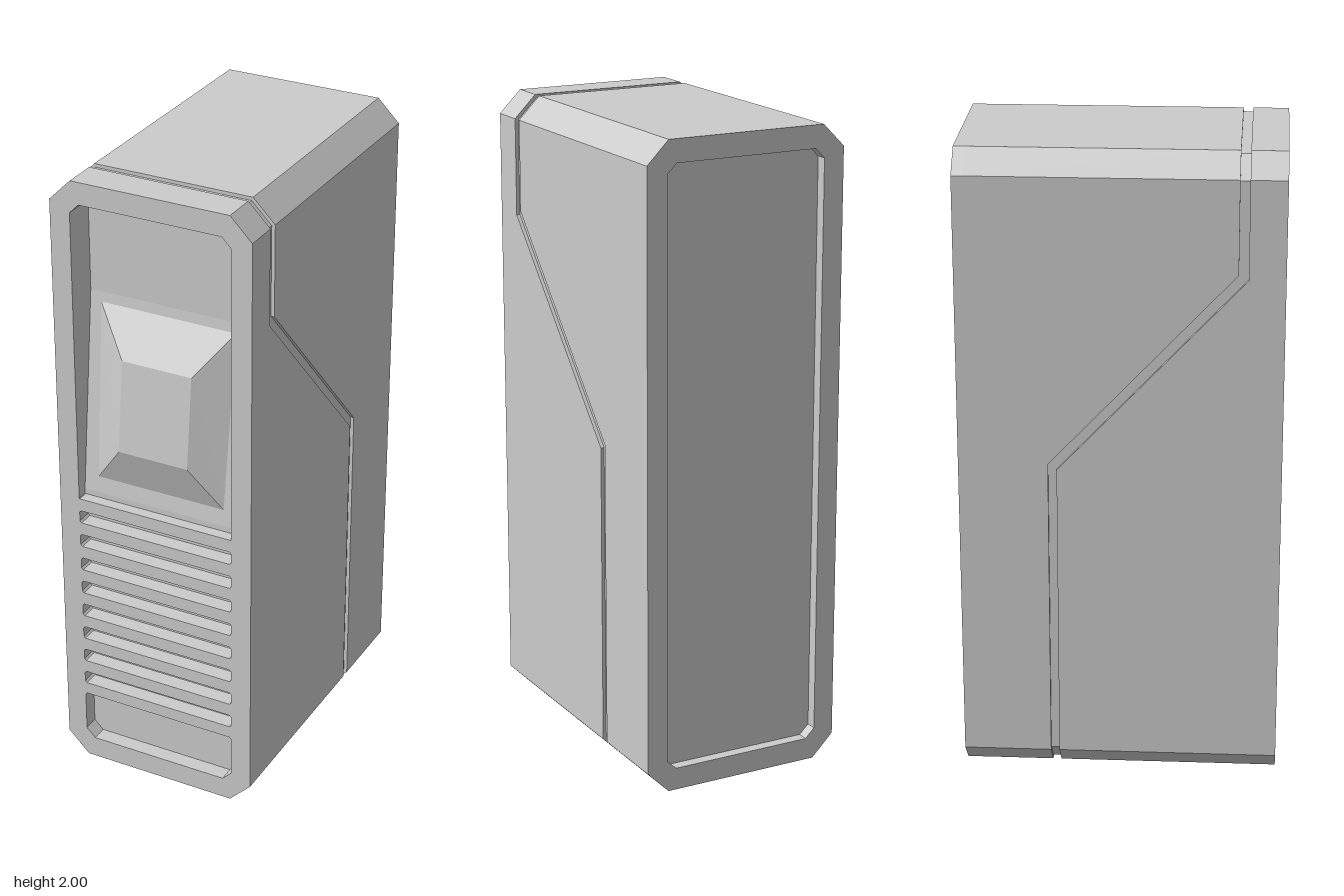
import * as THREE from 'three';

const FRONT = 0.488, BACK = -0.488;
const PLATE_IN = 0.383;   // back of the front plate
const BACK_FLOOR = -0.452; // floor of the rear recess

const material = new THREE.MeshStandardMaterial({ color: 0xcccccc, flatShading: true });

function part(name, geometry) {
  const mesh = new THREE.Mesh(geometry, material);
  mesh.name = name;
  return mesh;
}

// Rectangle with cut corners; separate cuts for the lower and upper pair
function cutRect(PathType, hw, y0, y1, low, high = low) {
  const pts = [
    [-hw + low, y0], [hw - low, y0], [hw, y0 + low], [hw, y1 - high],
    [hw - high, y1], [-hw + high, y1], [-hw, y1 - high], [-hw, y0 + low],
  ];
  return new PathType(pts.map(([x, y]) => new THREE.Vector2(x, y)));
}

function plate(holes, z0, z1) {
  const shape = cutRect(THREE.Shape, 0.326, 0, 2, 0.07);
  shape.holes.push(...holes);
  const geo = new THREE.ExtrudeGeometry(shape, { depth: z1 - z0, bevelEnabled: false });
  return geo.translate(0, 0, z0);
}

// Flat-faced geometry from quads given counter-clockwise from outside
function quadGeometry(quads) {
  const pos = [];
  for (const [a, b, c, d] of quads) pos.push(...a, ...b, ...c, ...a, ...c, ...d);
  const geo = new THREE.BufferGeometry();
  geo.setAttribute('position', new THREE.Float32BufferAttribute(pos, 3));
  geo.computeVertexNormals();
  return geo;
}

// One ring round the case: upper and lower are the [z, y] bends of its edge
function ring(inset, upper, lower) {
  const hw = 0.326 - inset, y0 = inset, y1 = 2 - inset, c = 0.07 - inset * 0.586;
  const right = [
    [hw - c, y0, lower[0]], [hw, y0 + c, lower[0]], [hw, lower[1], lower[0]],
    [hw, upper[1], upper[0]], [hw, y1 - c, upper[0]], [hw - c, y1, upper[0]],
  ];
  return [...right, ...right.map(([x, y, z]) => [-x, y, z]).reverse()];
}

// Side skin with the stepped seam groove running all the way round
function casing() {
  const fu = [0.378, 1.627], fl = [-0.19, 1.02];  // front edge of the seam
  const ru = [0.349, 1.643], rl = [-0.216, 1.038]; // rear edge of the seam
  const rings = [
    ring(0, [PLATE_IN, fu[1]], [PLATE_IN, fl[1]]),
    ring(0, fu, fl), ring(0.011, fu, fl),
    ring(0.011, ru, rl), ring(0, ru, rl),
    ring(0, [BACK_FLOOR, ru[1]], [BACK_FLOOR, rl[1]]),
  ];
  const quads = [];
  for (let i = 0; i < rings.length - 1; i++) {
    const p = rings[i], q = rings[i + 1];
    for (let j = 0; j < p.length; j++) {
      const k = (j + 1) % p.length;
      quads.push([p[j], q[j], q[k], p[k]]);
    }
  }
  return quadGeometry(quads);
}

// Height of the sloping panel
const panelZ = (y) => PLATE_IN + 0.107 * Math.max(0, 1.615 - Math.max(y, 0.97));

// Upper recessed panel: flat at the top, leaning forward lower down
function panel() {
  const ys = [1.94, 1.615, 0.97, 0.94];
  const pts = ys.map((y) => new THREE.Vector2(panelZ(y), y));
  pts.push(new THREE.Vector2(0.36, 0.94), new THREE.Vector2(0.36, 1.94));
  const geo = new THREE.ExtrudeGeometry(new THREE.Shape(pts), { depth: 0.53, bevelEnabled: false });
  return geo.rotateY(-Math.PI / 2).translate(0.265, 0, 0);
}

// Raised block with four sloping sides on the panel
function bump() {
  const base = [[-0.215, 1.02], [0.215, 1.02], [0.225, 1.585], [-0.225, 1.585]]
    .map(([x, y]) => [x, y, panelZ(y) - 0.001]);
  const top = [[-0.115, 1.155, 0.49], [0.115, 1.155, 0.49], [0.115, 1.445, 0.459], [-0.115, 1.445, 0.459]];
  const quads = [top];
  for (let i = 0; i < 4; i++) {
    const k = (i + 1) % 4;
    quads.push([base[i], base[k], top[k], top[i]]);
  }
  return quadGeometry(quads);
}

export function createModel() {
  const model = new THREE.Group();
  model.name = 'computerTower';

  model.add(part('casing', casing()));

  // Front plate: panel opening, eight vent slots and the bottom recess
  const holes = [
    cutRect(THREE.Path, 0.26, 0.952, 1.93, 0.002, 0.03),
    cutRect(THREE.Path, 0.26, 0.07, 0.236, 0.03, 0.006),
  ];
  for (let i = 0; i < 8; i++) {
    const y = 0.276 + i * 0.0845;
    holes.push(cutRect(THREE.Path, 0.26, y, y + 0.043, 0.006));
  }
  model.add(part('frontFrame', plate(holes, PLATE_IN, FRONT)));
  model.add(part('frontPanel', panel()));
  model.add(part('panelBump', bump()));

  // Floor behind the slots and bottom recess
  const floor = new THREE.BoxGeometry(0.53, 0.87, 0.05);
  model.add(part('ventFloor', floor.translate(0, 0.5, 0.438 - 0.025)));

  // Back frame with one large shallow recess
  const backHole = cutRect(THREE.Path, 0.26, 0.07, 1.93, 0.03);
  model.add(part('backFrame', plate([backHole], BACK, BACK_FLOOR)));
  const backFloor = new THREE.BoxGeometry(0.53, 1.87, 0.02);
  model.add(part('backPanel', backFloor.translate(0, 1, BACK_FLOOR + 0.009)));

  return model;
}
